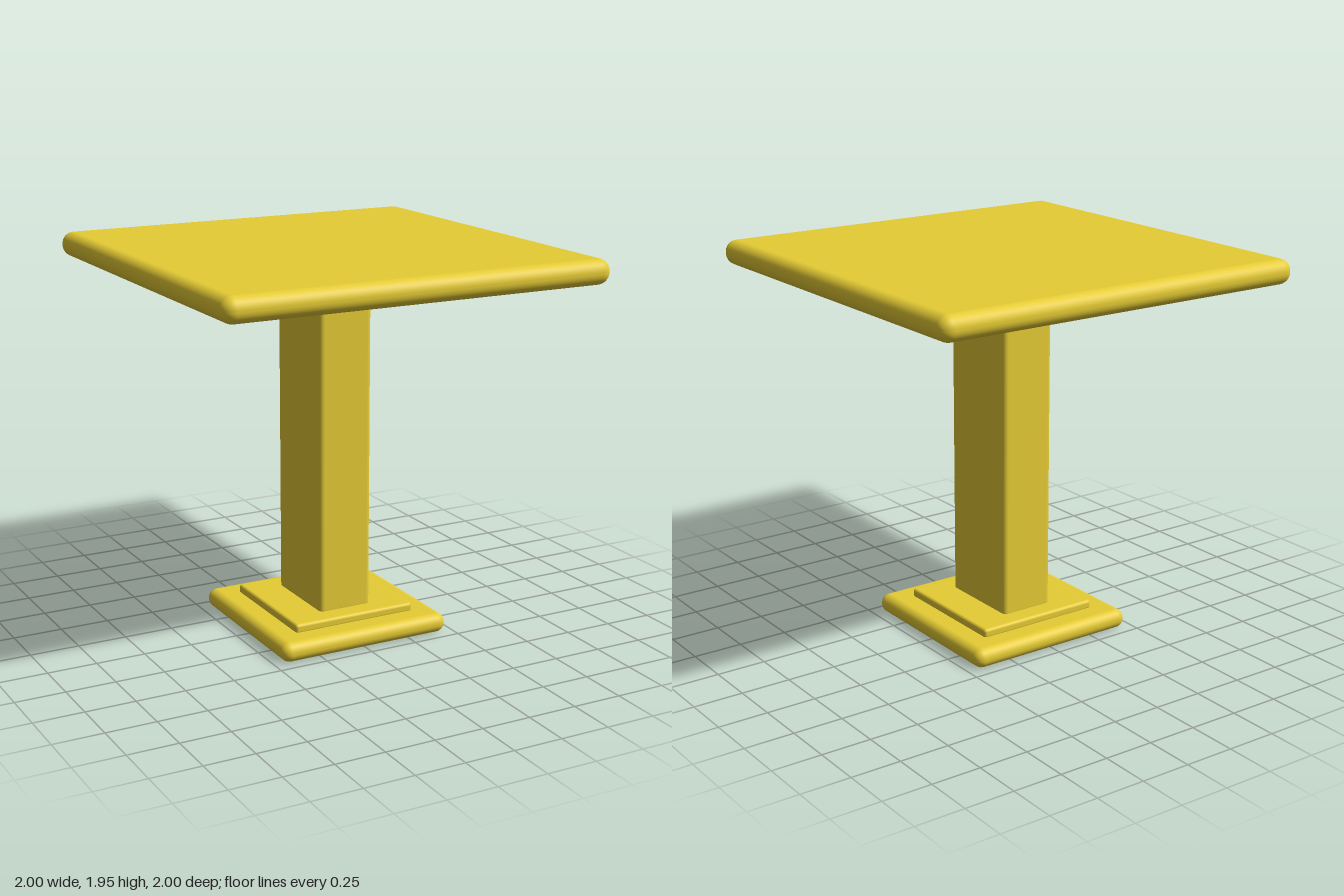
import * as THREE from 'three';
import { RoundedBoxGeometry } from 'three/addons/geometries/RoundedBoxGeometry.js';

export function createModel() {
  const table = new THREE.Group();
  table.name = 'pedestalTable';
  const material = new THREE.MeshStandardMaterial({ color: 0xe6cc35 });

  // Soft-edged block between two heights, centred on the vertical axis
  function addBlock(name, width, depth, bottom, top, radius) {
    const geometry = new RoundedBoxGeometry(width, top - bottom, depth, 6, radius);
    const mesh = new THREE.Mesh(geometry, material);
    mesh.name = name;
    mesh.position.y = (bottom + top) / 2;
    table.add(mesh);
  }

  // Foot: thick slab with a thinner plate on it
  addBlock('base', 0.92, 0.92, 0, 0.1, 0.048);
  addBlock('basePlate', 0.66, 0.66, 0.09, 0.14, 0.016);

  // Column: wider front to back than side to side
  addBlock('column', 0.284, 0.456, 0.12, 1.79, 0.025);

  // Collar and square top
  addBlock('collar', 0.564, 0.564, 1.768, 1.832, 0.025);
  addBlock('tabletop', 2, 2, 1.825, 1.95, 0.06);

  return table;
}
